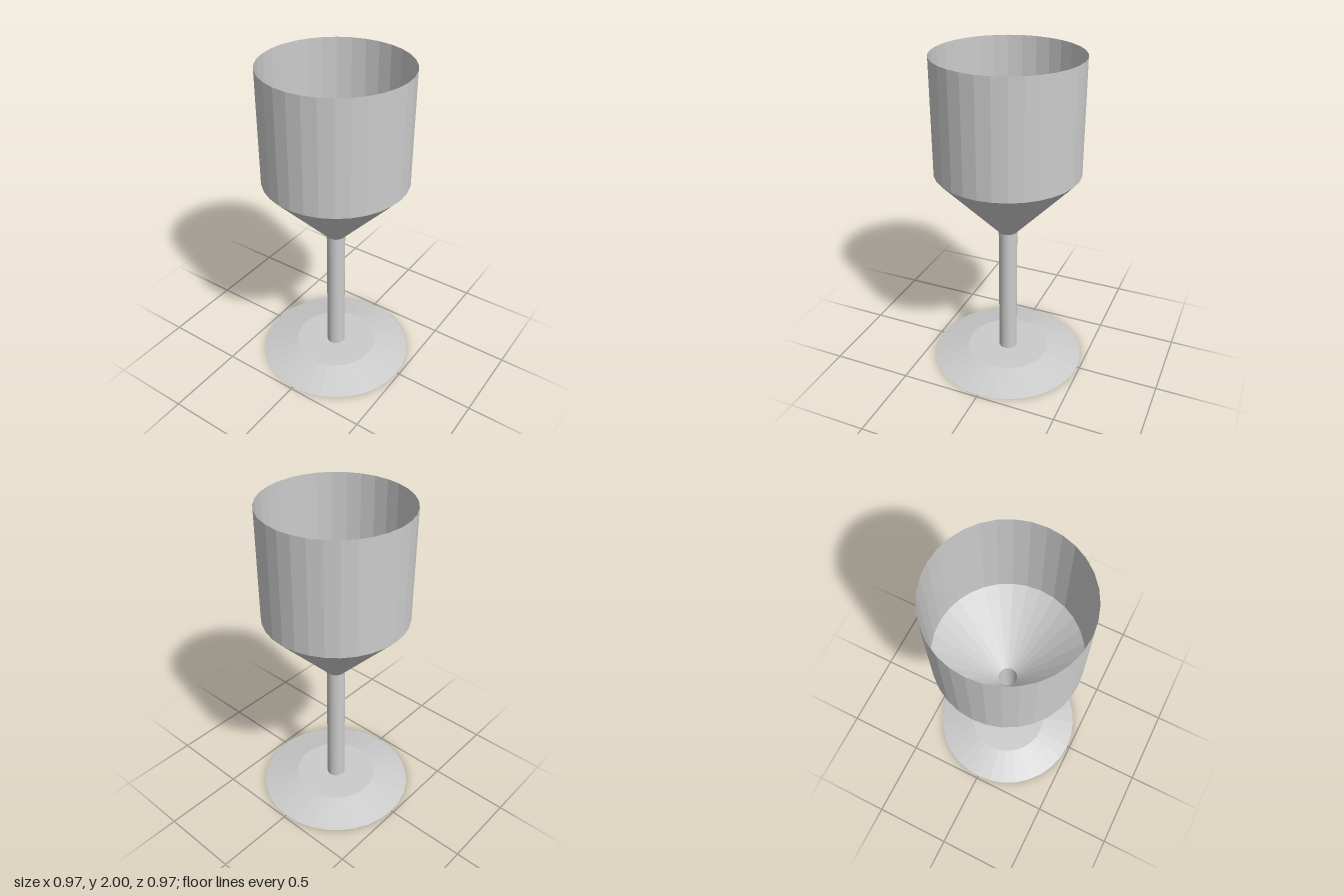
import * as THREE from 'three';

const SIDES = 32;

export function createModel() {
  const group = new THREE.Group();
  group.name = 'goblet';

  // Thin open shell, seen from inside and outside
  const material = new THREE.MeshStandardMaterial({
    color: 0xcccccc, flatShading: true, side: THREE.DoubleSide,
  });

  // Revolves a profile of [radius, height] points, listed bottom to top
  function addShell(name, profile) {
    const points = profile.map(([r, y]) => new THREE.Vector2(r, y));
    const mesh = new THREE.Mesh(new THREE.LatheGeometry(points, SIDES), material);
    mesh.name = name;
    group.add(mesh);
  }

  const stemRadius = 0.057, bowlRadius = 0.435;
  const footTop = 0.055, stemTop = 0.912, bowlBottom = 1.315;

  // Sloped foot with a flat top, hollow underneath
  addShell('foot', [[0.483, 0], [0.26, footTop], [stemRadius, footTop]]);
  // Hollow stem, open at both ends
  addShell('stem', [[stemRadius, footTop], [stemRadius, stemTop]]);
  // Conical lower bowl and straight cup wall
  addShell('bowlCone', [[stemRadius, stemTop], [bowlRadius, bowlBottom]]);
  addShell('bowlWall', [[bowlRadius, bowlBottom], [bowlRadius, 2]]);

  return group;
}
